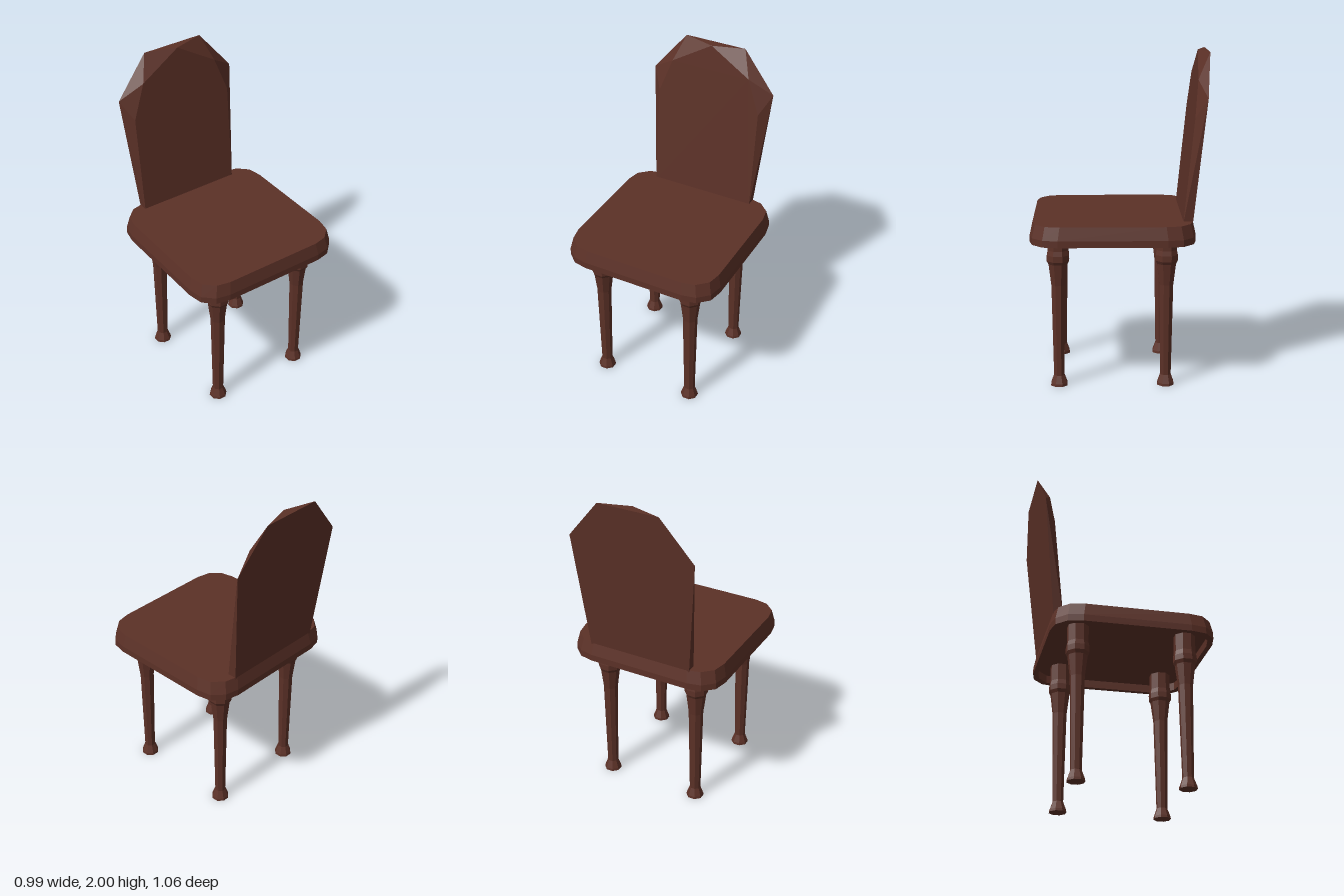
import * as THREE from 'three';
import { ConvexGeometry } from 'three/addons/geometries/ConvexGeometry.js';

// Closed loft through counter-clockwise (seen from above) rings, fan-capped at both ends
function loft(rings) {
  const n = rings[0].length, pos = [];
  const tri = (...pts) => pts.forEach((p) => pos.push(p.x, p.y, p.z));
  for (let r = 0; r < rings.length - 1; r++) {
    const lo = rings[r], hi = rings[r + 1];
    for (let i = 0; i < n; i++) {
      const j = (i + 1) % n;
      tri(lo[i], lo[j], hi[j]);
      tri(lo[i], hi[j], hi[i]);
    }
  }
  const first = rings[0], last = rings[rings.length - 1];
  for (let i = 1; i < n - 1; i++) {
    tri(first[0], first[i + 1], first[i]);
    tri(last[0], last[i], last[i + 1]);
  }
  const g = new THREE.BufferGeometry();
  g.setAttribute('position', new THREE.Float32BufferAttribute(pos, 3));
  g.computeVertexNormals();
  return g;
}

export function createModel() {
  const group = new THREE.Group();
  const wood = new THREE.MeshStandardMaterial({ color: 0x5c3127, flatShading: true });
  wood.name = 'dark brown wood';
  const add = (name, geometry) => {
    const mesh = new THREE.Mesh(geometry, wood);
    mesh.name = name;
    group.add(mesh);
    return mesh;
  };

  // Seat: rounded square slab with a tapered top edge and a recessed underside
  const corner = [[0.493, 0.32], [0.475, 0.41], [0.41, 0.472], [0.325, 0.49]];
  const mirrored = (sx, sz) => corner.map(([x, z]) => [x * sx, z * sz]);
  const outline = [
    ...mirrored(1, 1).reverse(), ...mirrored(1, -1),
    ...mirrored(-1, -1).reverse(), ...mirrored(-1, 1),
  ];
  const ring = (inset, y) => outline.map(([x, z]) => {
    const s = 1 - inset / 0.49;
    return new THREE.Vector3(x * s, y, z * s + 0.04);
  });
  add('seat', loft([
    ring(0.03, 0.95), ring(0.03, 0.9), ring(0, 0.9), ring(0, 0.94), ring(0.017, 1.018),
  ]));

  // Backrest: leaning panel whose rear outline flares wider than its front
  const lean = (y) => -0.1 * (y - 1);
  const points = [];
  for (const s of [-1, 1]) {
    for (const [x, y] of [[0.33, 1], [0.335, 1.63], [0.255, 1.845], [0, 2]]) {
      if (x > 0 || s > 0) points.push(new THREE.Vector3(s * x, y, -0.375 + lean(y)));
    }
    for (const [x, y] of [[0.33, 1], [0.4, 1.75], [0.195, 2]]) {
      points.push(new THREE.Vector3(s * x, y, -0.432 + lean(y)));
    }
  }
  add('backrest', new ConvexGeometry(points));

  // Legs: eight-sided turned profile, radii measured across the flats
  const profile = [
    [0, 0], [0.05, 0], [0.048, 0.015], [0.031, 0.065], [0.041, 0.63],
    [0.056, 0.76], [0.066, 0.78], [0.066, 0.815], [0.06, 0.845], [0.06, 0.96],
  ].map(([r, y]) => new THREE.Vector2(r / Math.cos(Math.PI / 8), y));
  const legGeometry = new THREE.LatheGeometry(profile, 8, Math.PI / 8);
  for (const [row, z] of [['front', 0.365], ['back', -0.28]]) {
    for (const [side, x] of [['Left', 0.3], ['Right', -0.3]]) {
      add(`${row}${side}Leg`, legGeometry).position.set(x, 0, z);
    }
  }
  return group;
}
